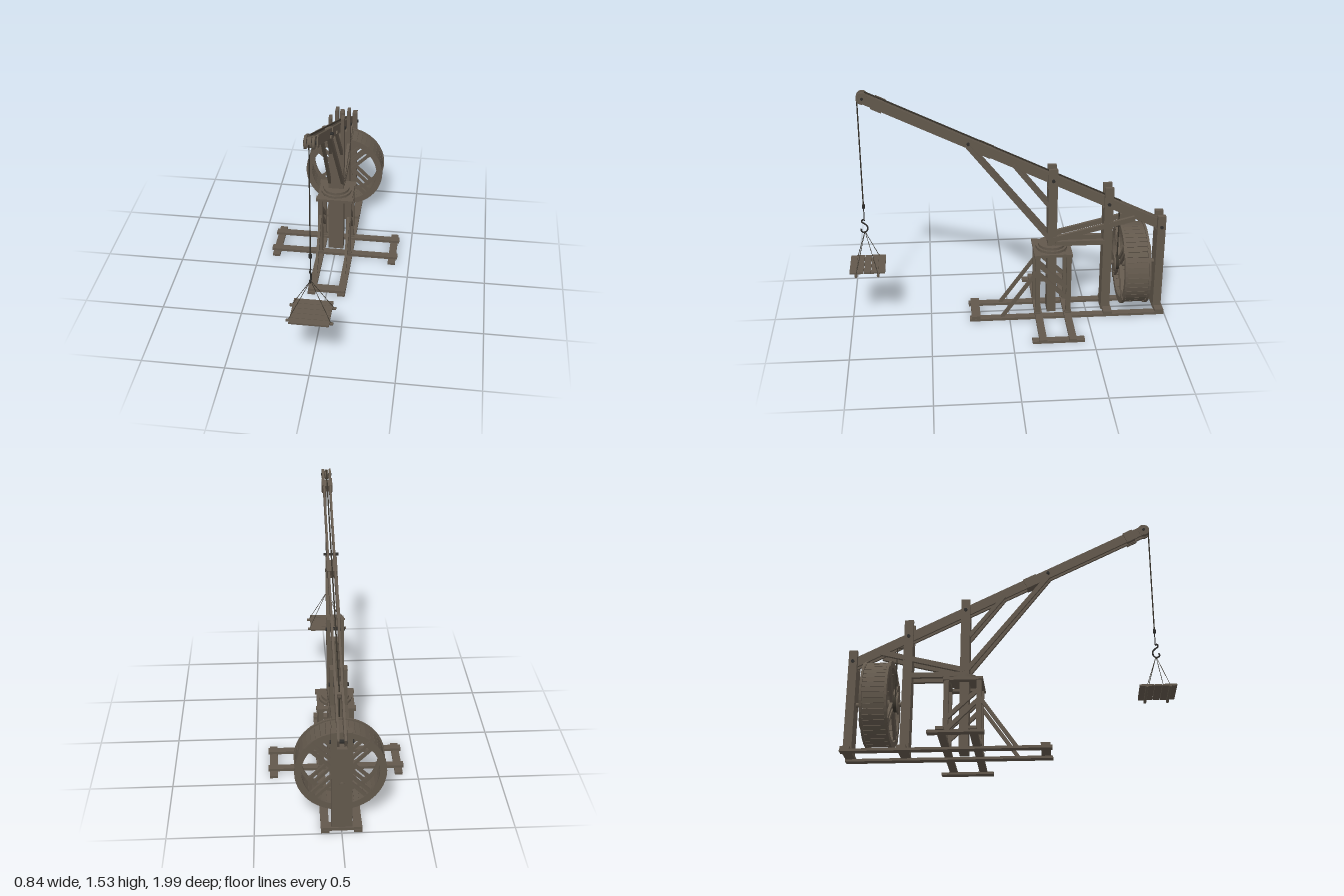
import * as THREE from 'three';

const wood = new THREE.MeshStandardMaterial({ color: 0x62584c });
wood.name = 'weathered wood';
const rope = new THREE.MeshStandardMaterial({ color: 0x38332b });
rope.name = 'dark rope';
const iron = new THREE.MeshStandardMaterial({ color: 0x2e2d2b });
iron.name = 'dark iron';

const V = (x, y, z) => new THREE.Vector3(x, y, z);

function add(parent, name, geo, mat = wood) {
  const m = new THREE.Mesh(geo, mat);
  m.name = name;
  parent.add(m);
  return m;
}

// Axis-aligned timber given by its limits
function block(parent, name, x0, x1, y0, y1, z0, z1) {
  const m = add(parent, name, new THREE.BoxGeometry(x1 - x0, y1 - y0, z1 - z0));
  m.position.set((x0 + x1) / 2, (y0 + y1) / 2, (z0 + z1) / 2);
  return m;
}

// Sloping timber between two points: w sideways, h deep
function beam(parent, name, a, b, w, h) {
  const m = add(parent, name, new THREE.BoxGeometry(w, h, a.distanceTo(b)));
  m.position.copy(a).lerp(b, 0.5);
  m.lookAt(b);
  return m;
}

// Round rod between two points
function rod(parent, name, a, b, r, mat, sides = 8) {
  const m = add(parent, name, new THREE.CylinderGeometry(r, r, a.distanceTo(b), sides), mat);
  m.position.copy(a).lerp(b, 0.5);
  m.quaternion.setFromUnitVectors(V(0, 1, 0), b.clone().sub(a).normalize());
  return m;
}

function group(parent, name) {
  const g = new THREE.Group();
  g.name = name;
  parent.add(g);
  return g;
}

const boomY = z => 0.6 + 0.489 * (z + 0.96);

function buildBase(root) {
  const g = group(root, 'base');
  for (const s of [-1, 1]) {
    const x = s * 0.095;
    block(g, 'longSill', x - 0.024, x + 0.024, 0, 0.016, -0.995, 0.255);
    block(g, 'outerFoot', s * 0.385 - 0.024, s * 0.385 + 0.024, 0, 0.016, -0.445, -0.12);
  }
  for (const z of [-0.185, -0.37]) block(g, 'crossSill', -0.42, 0.42, 0.014, 0.032, z - 0.023, z + 0.023);
  for (const z of [-0.965, -0.63, 0.215]) block(g, 'endSill', -0.118, 0.118, 0.014, 0.034, z - 0.028, z + 0.028);
}

function buildTrestle(root) {
  const g = group(root, 'trestle');
  for (const s of [-1, 1]) {
    const x = s * 0.093;
    for (const z of [-0.178, -0.375]) {
      block(g, 'trestlePost', x - 0.015, x + 0.015, 0.03, 0.44, z - 0.015, z + 0.015);
      block(g, 'postShoe', x - 0.02, x + 0.02, 0.03, 0.045, z - 0.02, z + 0.02);
    }
    block(g, 'trestleTopSide', x - 0.02, x + 0.02, 0.44, 0.458, -0.395, -0.155);
    // Diagonals between the posts and the forward strut
    beam(g, 'upperDiagonal', V(x, 0.385, -0.18), V(x, 0.2, -0.375), 0.02, 0.025);
    beam(g, 'lowerDiagonal', V(x, 0.32, -0.18), V(x, 0.125, -0.375), 0.02, 0.025);
    beam(g, 'forwardStrut', V(x, 0.325, -0.17), V(x, 0.012, 0.05), 0.016, 0.022);
  }
  for (const z of [-0.175, -0.375]) block(g, 'trestleTopCross', -0.12, 0.12, 0.44, 0.458, z - 0.02, z + 0.02);
  // Turning collar round the mast
  const lower = add(g, 'lowerCollar', new THREE.CylinderGeometry(0.1, 0.1, 0.018, 16));
  lower.position.set(0, 0.465, -0.272);
  const upper = add(g, 'upperCollar', new THREE.CylinderGeometry(0.085, 0.085, 0.018, 16));
  upper.position.set(0, 0.482, -0.272);
}

// Filler post with two taller cheeks holding the boom
function forkedPost(root, name, z, half, inner, outer, yFill, yTop) {
  const g = group(root, name);
  block(g, 'core', -inner, inner, 0.012, yFill, z - half, z + half);
  for (const s of [-1, 1]) {
    const x = s * (inner + outer) / 2, w = (outer - inner) / 2;
    block(g, 'cheek', x - w, x + w, 0.012, yTop, z - half, z + half);
  }
  rod(g, 'bolt', V(-outer - 0.008, boomY(z), z), V(outer + 0.008, boomY(z), z), 0.011, iron);
  return g;
}

function buildBoom(root) {
  const g = group(root, 'boom');
  const at = (x, z, up = 0) => V(x, boomY(z) + up * 0.898, z - up * 0.44);
  for (const s of [-1, 1]) {
    beam(g, 'boomPlank', at(s * 0.02, -0.975), at(s * 0.02, 0.865), 0.013, 0.06);
    beam(g, 'tipCheek', at(s * 0.028, 0.74), at(s * 0.028, 0.8), 0.012, 0.07);
    // Struts rising from the mast to the boom
    beam(g, 'longStrut', V(s * 0.042, 0.53, -0.26), V(s * 0.026, 1.175, 0.25), 0.018, 0.028);
    beam(g, 'shortStrut', V(s * 0.036, 0.76, -0.25), V(s * 0.026, 1.04, -0.03), 0.016, 0.024);
    beam(g, 'rearStrut', V(s * 0.042, 0.53, -0.27), V(s * 0.04, 0.66, -0.79), 0.02, 0.032);
    block(g, 'tieBeam', s * 0.04 - 0.012, s * 0.04 + 0.012, 0.487, 0.518, -0.6, -0.29);
    const end = add(g, 'roundedTip', new THREE.CylinderGeometry(0.036, 0.036, 0.014, 20));
    end.rotation.z = Math.PI / 2;
    end.position.copy(at(s * 0.022, 0.862));
  }
  beam(g, 'tipBlock', at(0, 0.745), at(0, 0.795), 0.05, 0.05);
  beam(g, 'middleCollar', at(0, 0.1), at(0, 0.18), 0.066, 0.066);
  beam(g, 'tailBlock', at(0, -0.7), at(0, -0.62), 0.03, 0.05);
  rod(g, 'strutBolt', at(-0.046, 0.245), at(0.046, 0.245), 0.009, iron);
  rod(g, 'tipAxle', at(-0.035, 0.862), at(0.035, 0.862), 0.009, iron);
  rod(g, 'tipPulley', at(-0.01, 0.862), at(0.01, 0.862), 0.03, wood, 20);
  rod(g, 'tailPulley', V(-0.01, 0.735, -0.678), V(0.01, 0.735, -0.678), 0.03, wood, 16);
  // Hauling rope from winch, along the boom, to the hook
  rod(g, 'winchRope', V(0, 0.36, -0.697), V(0, 0.75, -0.697), 0.004, rope, 6);
  rod(g, 'boomRope', at(0, -0.69, 0.037), at(0, 0.862, 0.037), 0.005, rope, 6);
  rod(g, 'fallRope', V(0, 0.79, 0.893), V(0, boomY(0.862), 0.893), 0.004, rope, 6);
}

function buildWheel(root) {
  const g = group(root, 'treadWheel');
  g.position.set(0, 0.332, -0.787);
  const ring = new THREE.Shape().absarc(0, 0, 0.265, 0, Math.PI * 2, false);
  ring.holes.push(new THREE.Path().absarc(0, 0, 0.225, 0, Math.PI * 2, true));
  const ringGeo = new THREE.ExtrudeGeometry(ring, { depth: 0.014, bevelEnabled: false, curveSegments: 24 });
  for (const z of [-0.081, 0.067]) {
    add(g, 'rim', ringGeo).position.z = z;
    // Paired crossing spokes with clamps at the rim
    for (const a of [Math.PI / 4, -Math.PI / 4]) {
      const cross = group(g, 'spokes');
      cross.rotation.z = a;
      cross.position.z = z + 0.007;
      for (const s of [-1, 1]) {
        block(cross, 'spoke', -0.25, 0.25, s * 0.018 - 0.009, s * 0.018 + 0.009, -0.009, 0.009);
        block(cross, 'clamp', s * 0.24 - 0.022, s * 0.24 + 0.022, -0.03, 0.03, -0.011, 0.011);
      }
    }
  }
  const count = 48;
  const slat = new THREE.BoxGeometry(0.012, 0.031, 0.14);
  for (let i = 0; i < count; i++) {
    const a = i / count * Math.PI * 2;
    const m = add(g, 'treadSlat', slat);
    m.position.set(Math.cos(a) * 0.25, Math.sin(a) * 0.25, 0);
    m.rotation.z = a;
  }
  // Axle, hubs and rope drum
  rod(g, 'axle', V(0, 0, -0.21), V(0, 0, 0.16), 0.014, wood, 12);
  rod(g, 'hub', V(0, 0, -0.1), V(0, 0, 0.09), 0.03, wood, 12);
  rod(g, 'ropeDrum', V(0, 0, 0.082), V(0, 0, 0.108), 0.046, rope, 16);
  rod(g, 'drumFlange', V(0, 0, 0.105), V(0, 0, 0.115), 0.06, wood, 16);
}

function buildLoad(root) {
  const g = group(root, 'hookAndTray');
  rod(g, 'hookWeight', V(0, 0.77, 0.893), V(0, 0.795, 0.893), 0.009, iron, 10);
  rod(g, 'hookShank', V(0, 0.685, 0.893), V(0, 0.77, 0.893), 0.003, iron, 6);
  const curve = new THREE.CatmullRomCurve3([
    V(0, 0.69, 0.893), V(0, 0.693, 0.904), V(0, 0.677, 0.908), V(0, 0.664, 0.892),
    V(0, 0.645, 0.876), V(0, 0.615, 0.88), V(0, 0.605, 0.9), V(0, 0.618, 0.916), V(0, 0.633, 0.912)]);
  add(g, 'hook', new THREE.TubeGeometry(curve, 40, 0.005, 8), iron);
  // Boarded tray on two bearers, hung by four slings
  for (let i = 0; i < 5; i++) {
    const z = 0.777 + i * 0.0446;
    block(g, 'trayBoard', -0.115, 0.115, 0.373, 0.384, z, z + 0.042);
  }
  for (const z of [0.82, 0.957]) {
    rod(g, 'trayBearer', V(-0.135, 0.367, z), V(0.135, 0.367, z), 0.009, wood);
    for (const s of [-1, 1]) rod(g, 'sling', V(0, 0.612, 0.893), V(s * 0.122, 0.372, z), 0.0018, rope, 5);
  }
}

export function createModel() {
  const root = new THREE.Group();
  root.name = 'treadwheelCrane';
  buildBase(root);
  buildTrestle(root);
  forkedPost(root, 'mast', -0.272, 0.028, 0.029, 0.05, 0.87, 1.01);
  forkedPost(root, 'middlePost', -0.623, 0.028, 0.029, 0.05, 0.72, 0.875);
  forkedPost(root, 'rearPost', -0.96, 0.026, 0.029, 0.06, 0.565, 0.672);
  buildBoom(root);
  buildWheel(root);
  buildLoad(root);
  return root;
}
